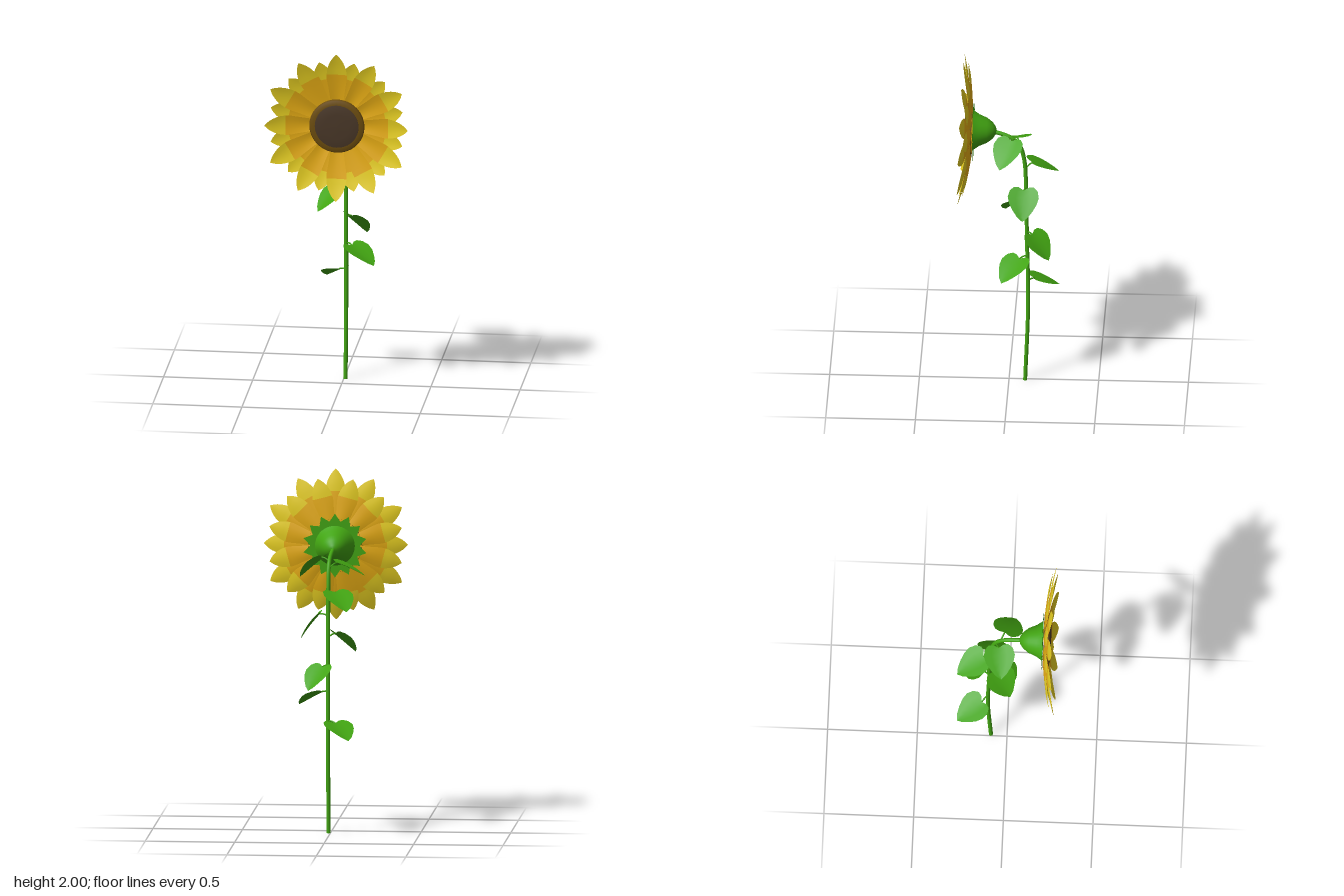
import * as THREE from 'three';

const mat = (name, color, side = THREE.FrontSide) => {
  const m = new THREE.MeshStandardMaterial({ color, side });
  m.name = name;
  return m;
};
const V = (x, y, z) => new THREE.Vector3(x, y, z);

// Smooth surface through equally long rows of points
function loft(rows) {
  const n = rows[0].length, index = [];
  for (let i = 0; i < rows.length - 1; i++)
    for (let j = 0; j < n - 1; j++) {
      const a = i * n + j, b = a + 1, c = a + n, d = c + 1;
      index.push(a, b, c, b, d, c);
    }
  const g = new THREE.BufferGeometry();
  g.setAttribute('position', new THREE.Float32BufferAttribute(rows.flat(2), 3));
  g.setIndex(index);
  g.computeVertexNormals();
  return g;
}

export function createModel() {
  const green = mat('leaf green', 0x42a512, THREE.DoubleSide);
  const yellow = mat('petal yellow', 0xe8d022, THREE.DoubleSide);
  const orange = mat('petal orange', 0xe6ac14, THREE.DoubleSide);
  const brown = mat('rim brown', 0x6e4e0e);
  const dark = mat('seed brown', 0x4a3828);

  const model = new THREE.Group();
  model.name = 'sunflower';
  const add = (parent, name, geo, material) => {
    const mesh = new THREE.Mesh(geo, material);
    mesh.name = name;
    parent.add(mesh);
    return mesh;
  };

  // Stem, bending forward into the flower head
  const stemCurve = new THREE.CatmullRomCurve3([
    V(0.01, 0, -0.09), V(0.012, 0.5, -0.107), V(0.012, 0.9, -0.1), V(0.012, 1.25, -0.095),
    V(0.012, 1.4, -0.085), V(0.012, 1.49, -0.06), V(0.01, 1.535, -0.015), V(0.004, 1.56, 0.05), V(0, 1.572, 0.1),
  ]);
  add(model, 'stem', new THREE.TubeGeometry(stemCurve, 60, 0.0115, 10), green);
  const cap = add(model, 'stemBase', new THREE.CircleGeometry(0.0115, 10), green);
  cap.position.set(0.01, 0.0005, -0.09);
  cap.rotation.x = Math.PI / 2;

  // Heart-shaped leaf, pointing along +z, folded lightly at the midrib
  const outline = [[0, 0], [-0.018, 0.03], [-0.018, 0.055], [0.005, 0.078], [0.045, 0.087],
    [0.085, 0.077], [0.125, 0.055], [0.16, 0.03], [0.185, 0]];
  const leafGeo = loft(outline.map(([u, w]) => {
    const droop = -0.5 * Math.max(u, 0) ** 2;
    const fold = 0.14 * w;
    const mid = Math.max(u, 0);
    return [[-w, droop + fold, u], [-w / 2, droop + fold / 2, (u + mid) / 2], [0, droop, mid],
      [w / 2, droop + fold / 2, (u + mid) / 2], [w, droop + fold, u]];
  }));

  // Leaves: where the stalk leaves the stem, leaf base, leaf tip
  const leaves = [
    [V(0.012, 0.63, -0.106), V(-0.03, 0.625, -0.14), V(-0.12, 0.56, -0.28)],
    [V(0.012, 0.79, -0.103), V(0.05, 0.79, -0.06), V(0.19, 0.72, 0.04)],
    [V(0.012, 0.94, -0.1), V(0.04, 0.94, -0.13), V(0.12, 0.83, -0.235)],
    [V(0.012, 1.1, -0.097), V(-0.03, 1.12, -0.055), V(-0.14, 1.02, 0.03)],
    [V(0.012, 1.22, -0.095), V(0.06, 1.23, -0.085), V(0.18, 1.1, -0.08)],
    [V(0.012, 1.34, -0.09), V(-0.03, 1.36, -0.13), V(-0.11, 1.285, -0.28)],
    [V(0.012, 1.48, -0.065), V(-0.03, 1.515, -0.045), V(-0.195, 1.455, -0.025)],
    [V(0.012, 1.52, -0.035), V(0.055, 1.54, -0.015), V(0.19, 1.435, 0.05)],
  ];
  leaves.forEach(([root, base, tip], i) => {
    const leaf = new THREE.Group();
    leaf.name = 'leaf' + (i + 1);
    model.add(leaf);
    const bend = root.clone().lerp(base, 0.5).add(V(0, 0.012, 0));
    add(leaf, 'leafStalk', new THREE.TubeGeometry(new THREE.QuadraticBezierCurve3(root, bend, base), 6, 0.0045, 6), green);
    const blade = add(leaf, 'leafBlade', leafGeo, green);
    const d = tip.clone().sub(base);
    const length = d.length();
    d.normalize();
    const n = V(0, 1, 0).addScaledVector(d, -d.y).normalize();
    blade.quaternion.setFromRotationMatrix(new THREE.Matrix4().makeBasis(n.clone().cross(d), n, d));
    blade.position.copy(base);
    blade.scale.set(1, 1, length / 0.185);
  });

  // Flower head, facing +z
  const head = new THREE.Group();
  head.name = 'flowerHead';
  head.position.set(0, 1.575, 0);
  model.add(head);
  const lathe = (name, pts, material) => {
    const g = new THREE.LatheGeometry(pts.map(p => new THREE.Vector2(...p)), 36);
    g.rotateX(Math.PI / 2);
    return add(head, name, g, material);
  };
  lathe('calyx', [[0.003, 0.07], [0.02, 0.073], [0.045, 0.09], [0.07, 0.122], [0.088, 0.165], [0.112, 0.2]], green);

  // Jagged ring of sepals behind the petals
  const star = new THREE.Shape();
  for (let i = 0; i < 28; i++) {
    const r = i % 2 ? 0.138 : 0.18, a = i * Math.PI / 14;
    star[i ? 'lineTo' : 'moveTo'](r * Math.sin(a), r * Math.cos(a));
  }
  star.closePath();
  add(head, 'sepals', new THREE.ShapeGeometry(star), green).position.z = 0.199;

  // Petal strip from radius r0 to r1, with a shallow cup across its width
  const profile = new THREE.CatmullRomCurve3([V(0, 0.03, 0), V(0.35, 0.046, 0), V(0.6, 0.057, 0),
    V(0.8, 0.045, 0), V(0.93, 0.022, 0), V(1, 0.001, 0)]);
  const petalPart = (t0, t1, length, rise) => {
    const rows = [];
    for (let i = 0; i <= 7; i++) {
      const { x: t, y: w } = profile.getPoint(t0 + (t1 - t0) * i / 7);
      const r = 0.1 + (length - 0.1) * t;
      const z = rise * t ** 1.3;
      rows.push([-1, -0.5, 0, 0.5, 1].map(k => [k * w, r, z - 0.006 * (1 - k * k) * Math.min(1, 4 * (1 - t))]));
    }
    return loft(rows);
  };

  // Two alternating layers of twelve petals
  for (let i = 0; i < 24; i++) {
    const a = i * Math.PI / 12, front = i % 2 === 0;
    const length = !front ? 0.382 : i % 12 === 6 ? 0.402 : 0.425;
    const rise = (front ? 0.052 : 0.036) - 0.013 * Math.cos(a);
    const petal = new THREE.Group();
    petal.name = 'petal' + (i + 1);
    petal.position.z = front ? 0.217 : 0.209;
    petal.rotation.z = -a;
    add(petal, 'petalBase', petalPart(0, 0.42, length, rise), orange);
    add(petal, 'petalTip', petalPart(0.42, 1, length, rise), yellow);
    head.add(petal);
  }

  // Seed disc with a raised rim
  lathe('discRim', [[0.15, 0.205], [0.155, 0.228], [0.148, 0.237], [0.12, 0.239], [0.001, 0.239]], brown);
  lathe('seedDisc', [[0.124, 0.236], [0.122, 0.242], [0.07, 0.245], [0.001, 0.246]], dark);

  return model;
}
